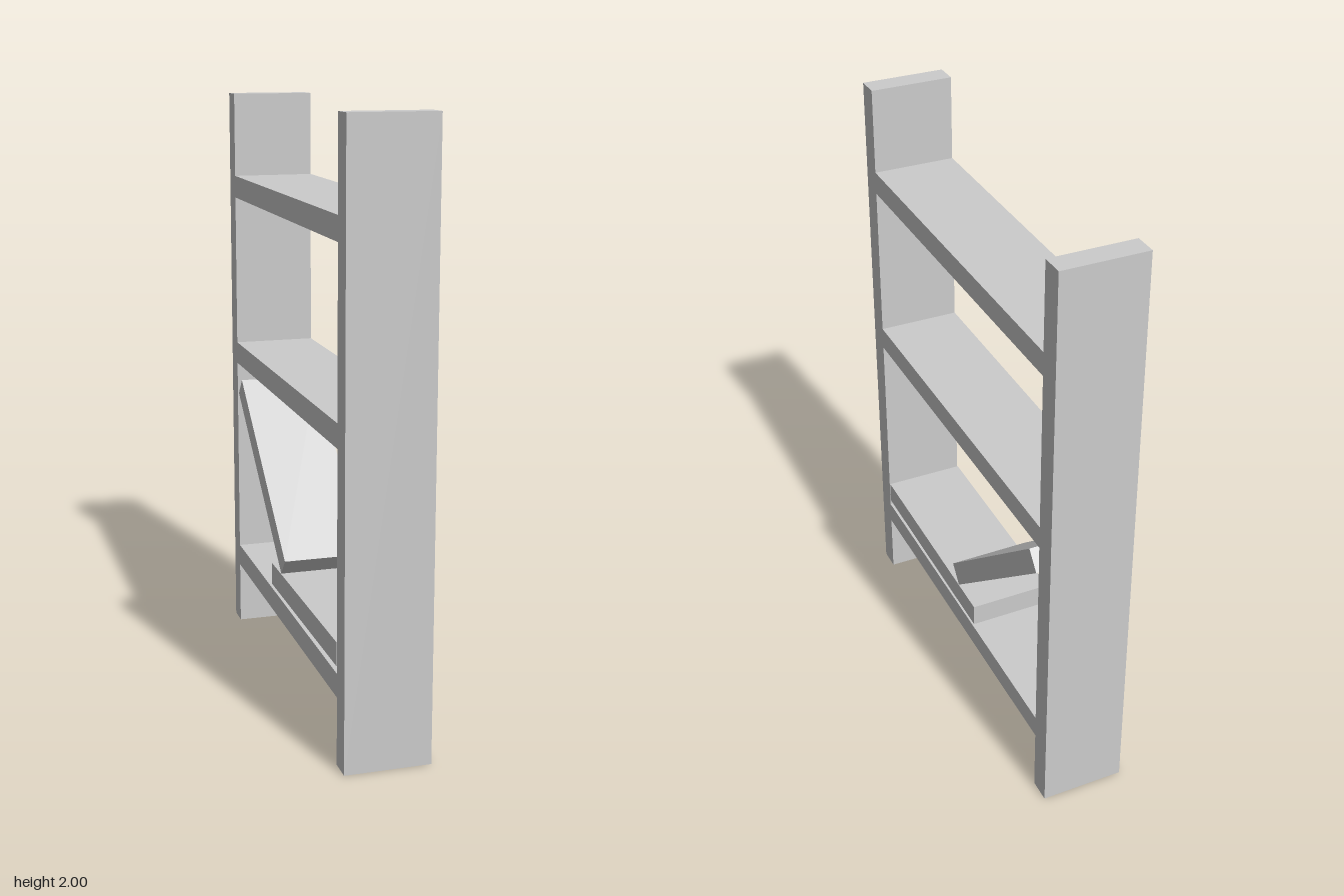
import * as THREE from 'three';

const WIDTH = 0.284;   // shared board width (x)
const THICK = 0.078;   // shared board thickness

export function createModel() {
  const group = new THREE.Group();
  group.name = 'shelfFrame';
  const material = new THREE.MeshStandardMaterial({ color: 0xcccccc, flatShading: true });

  function board(name, height, depth, y, z, tilt = 0) {
    const mesh = new THREE.Mesh(new THREE.BoxGeometry(WIDTH, height, depth), material);
    mesh.name = name;
    mesh.position.set(0, y, z);
    mesh.rotation.x = tilt;
    group.add(mesh);
  }

  // Uprights
  board('frontUpright', 2, THICK, 1, 0.681);
  board('backUpright', 2, THICK, 1, -0.681);

  // Shelves between the uprights
  const shelves = { lowerShelf: 0.264, middleShelf: 1.055, upperShelf: 1.669 };
  for (const [name, y] of Object.entries(shelves)) board(name, THICK, 1.284, y, 0);

  // Loose boards: one lying on the lower shelf, one leaning on the back upright
  board('lyingBoard', THICK, 0.787, 0.361, 0.243, -0.01);
  board('leaningBoard', THICK, 0.787, 0.682, -0.298, 0.696);

  return group;
}
